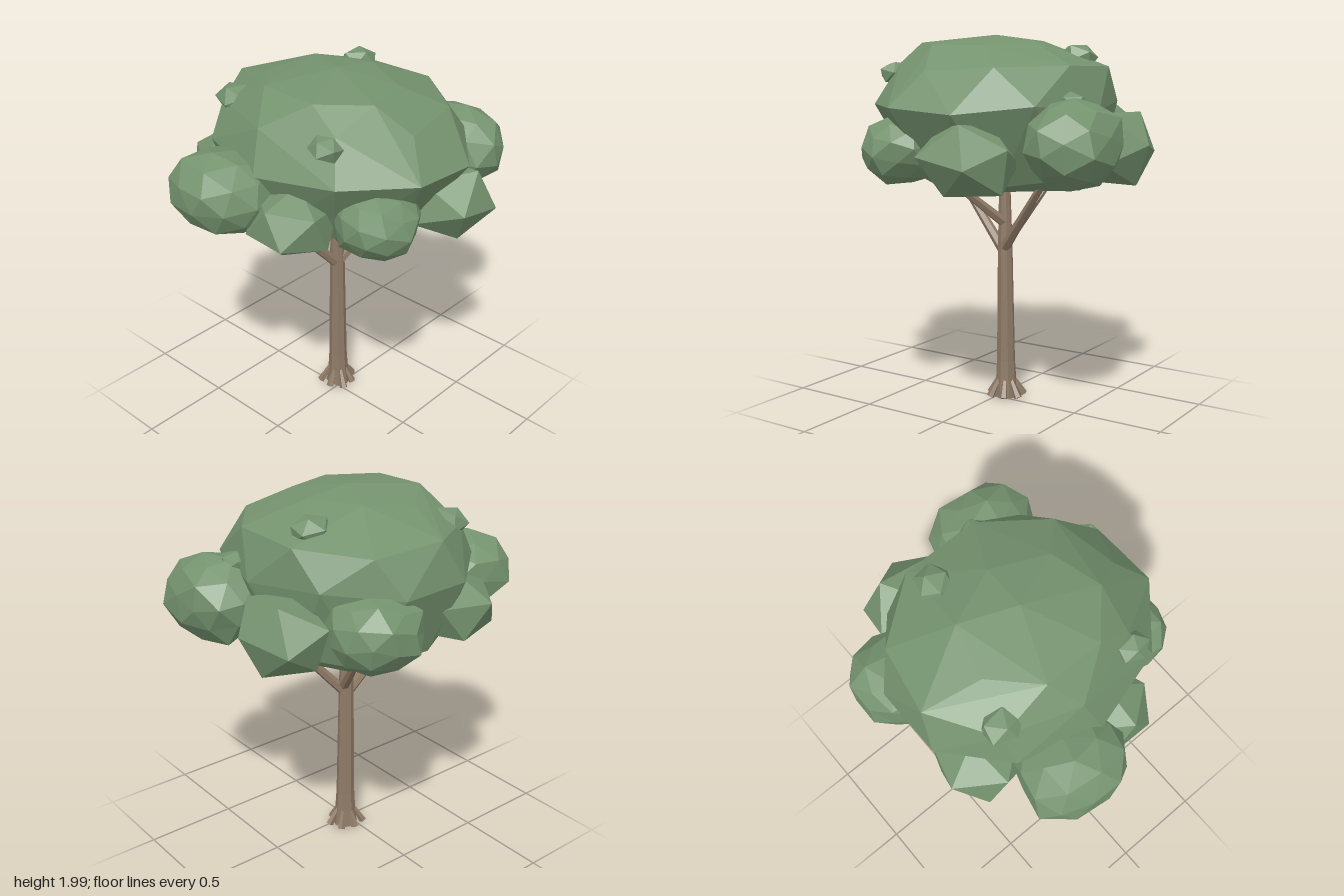
import * as THREE from 'three';
import { mergeVertices } from 'three/addons/utils/BufferGeometryUtils.js';
import { ConvexGeometry } from 'three/addons/geometries/ConvexGeometry.js';

export function createModel() {
  const tree = new THREE.Group();
  tree.name = 'tree';
  const leaf = new THREE.MeshStandardMaterial({ color: 0x75936f, flatShading: true });
  leaf.name = 'leaf green';
  const bark = new THREE.MeshStandardMaterial({ color: 0x8f7b67, flatShading: true });
  bark.name = 'bark brown';

  const add = (name, geometry, material) => {
    const mesh = new THREE.Mesh(geometry, material);
    mesh.name = name;
    tree.add(mesh);
    return mesh;
  };

  // Crown: faceted hull over oval rings of [y, xMin, xMax, zMin, zMax]
  const crownPoints = [new THREE.Vector3(0, 2.0, 0)];
  [
    [1.19, -0.2, 0.45, -0.4, 0.18],
    [1.25, -0.44, 0.52, -0.58, 0.46],
    [1.63, -0.59, 0.61, -0.71, 0.71],
    [1.83, -0.5, 0.56, -0.64, 0.54],
    [1.96, -0.39, 0.24, -0.35, 0.37],
  ].forEach(([y, x0, x1, z0, z1], ring) => {
    const count = [6, 9, 10, 9, 7][ring];
    for (let i = 0; i < count; i++) {
      const t = ((i + ring * 0.5) / count) * Math.PI * 2;
      crownPoints.push(new THREE.Vector3(
        (x0 + x1) / 2 + Math.cos(t) * (x1 - x0) * 0.51,
        Math.min(y + 0.02 * Math.sin(i * 2.3 + ring), 1.97),
        (z0 + z1) / 2 + Math.sin(t) * (z1 - z0) * 0.51));
    }
  });
  add('crown', new ConvexGeometry(crownPoints), leaf);

  // Faceted leaf clump: a warped icosahedron fitted between two corners.
  // A power above 2 makes the clump boxier.
  const clump = (name, min, max, detail, turn, power = 2) => {
    const g = new THREE.IcosahedronGeometry(1, detail);
    g.rotateX(turn * 0.7).rotateY(turn * 1.9).rotateZ(turn * 0.4);
    const p = g.attributes.position;
    const v = new THREE.Vector3();
    for (let i = 0; i < p.count; i++) {
      v.fromBufferAttribute(p, i);
      const sum = Math.abs(v.x) ** power + Math.abs(v.y) ** power + Math.abs(v.z) ** power;
      const bump = 1 + 0.09 * Math.sin(5 * v.x + turn) * Math.cos(4 * v.z - 3 * v.y + turn);
      v.multiplyScalar(bump * sum ** (-1 / power));
      p.setXYZ(i, v.x, v.y, v.z);
    }
    // Size to the wanted bounds
    g.computeBoundingBox();
    const b = g.boundingBox;
    const size = b.getSize(new THREE.Vector3());
    g.translate(-b.min.x, -b.min.y, -b.min.z);
    g.scale(...[0, 1, 2].map((k) => (max[k] - min[k]) / size.getComponent(k)));
    g.translate(...min);
    g.deleteAttribute('uv');
    g.deleteAttribute('normal');
    const welded = mergeVertices(g, 1e-4);
    welded.computeVertexNormals();
    add(name, welded, leaf);
  };

  // Ring of lower clumps: name, min corner, max corner, detail, turn, power
  [
    ['leftFrontClump', [0.4, 1.24, -0.02], [0.85, 1.69, 0.57], 1, 0.5],
    ['leftBackClump', [0.36, 1.22, -0.49], [0.81, 1.6, 0.02], 0, 1.4],
    ['backClump', [0.03, 1.27, -0.79], [0.52, 1.64, -0.33], 1, 2.2, 2.3],
    ['rightBackClump', [-0.5, 1.23, -0.72], [-0.03, 1.62, -0.25], 0, 2.9],
    ['rightClump', [-0.86, 1.27, -0.49], [-0.36, 1.69, 0.09], 1, 3.6, 2.2],
    ['rightFrontClump', [-0.69, 1.21, -0.06], [-0.3, 1.57, 0.35], 0, 4.1],
    ['frontRightClump', [-0.46, 1.24, 0.28], [-0.05, 1.59, 0.71], 1, 5.2, 2.4],
    ['frontLeftClump', [-0.04, 1.22, 0.3], [0.44, 1.57, 0.78], 0, 0.8],
  ].forEach((c) => clump(...c));

  // Small tufts breaking through the crown
  [
    [0.38, 1.89, -0.2, 0.095],
    [-0.33, 1.84, -0.39, 0.1],
    [-0.43, 1.81, 0.32, 0.08],
    [0.56, 1.67, 0.18, 0.08],
  ].forEach(([x, y, z, r], i) =>
    clump('tuft', [x - r, y - r * 0.8, z - r], [x + r, y + r * 0.6, z + r], 0, i + 0.6));

  // Trunk: eight-sided profile with a flared foot and a slight lean
  const profile = [[0, 0.012], [0.068, 0.012], [0.058, 0.1], [0.051, 0.22], [0.041, 0.85], [0.028, 1.32], [0, 1.32]];
  const trunk = new THREE.LatheGeometry(profile.map(([r, y]) => new THREE.Vector2(r, y)), 8);
  const tp = trunk.attributes.position;
  for (let i = 0; i < tp.count; i++) {
    tp.setX(i, tp.getX(i) + 0.043 - 0.01 * tp.getY(i));
    tp.setZ(i, tp.getZ(i) - 0.037);
  }
  add('trunk', trunk, bark);

  // Tapered limb between two points
  const limb = (name, from, to, r0, r1, sides) => {
    const a = new THREE.Vector3(...from);
    const b = new THREE.Vector3(...to);
    const mesh = add(name, new THREE.CylinderGeometry(r1, r0, a.distanceTo(b), sides), bark);
    mesh.position.copy(a).add(b).multiplyScalar(0.5);
    mesh.quaternion.setFromUnitVectors(new THREE.Vector3(0, 1, 0), b.sub(a).normalize());
  };

  // Root toes around the foot
  for (let i = 0; i < 7; i++) {
    const t = (i / 7) * Math.PI * 2 + 0.25;
    const reach = i % 2 ? 0.088 : 0.1;
    const [c, s] = [Math.cos(t), Math.sin(t)];
    limb('root', [0.04 + c * reach, 0.02, -0.037 + s * reach],
      [0.04 + c * 0.04, 0.12, -0.037 + s * 0.04], 0.022, 0.01, 5);
  }

  // Branches into the crown
  [
    [[0.015, 0.85, -0.035], [-0.42, 1.32, -0.13]],
    [[0.045, 0.86, -0.02], [0.42, 1.3, 0.15]],
    [[0.03, 1.0, -0.02], [-0.18, 1.32, 0.33]],
    [[0.05, 0.9, -0.045], [0.19, 1.3, -0.39]],
  ].forEach(([a, b]) => limb('branch', a, b, 0.029, 0.017, 6));

  return tree;
}
